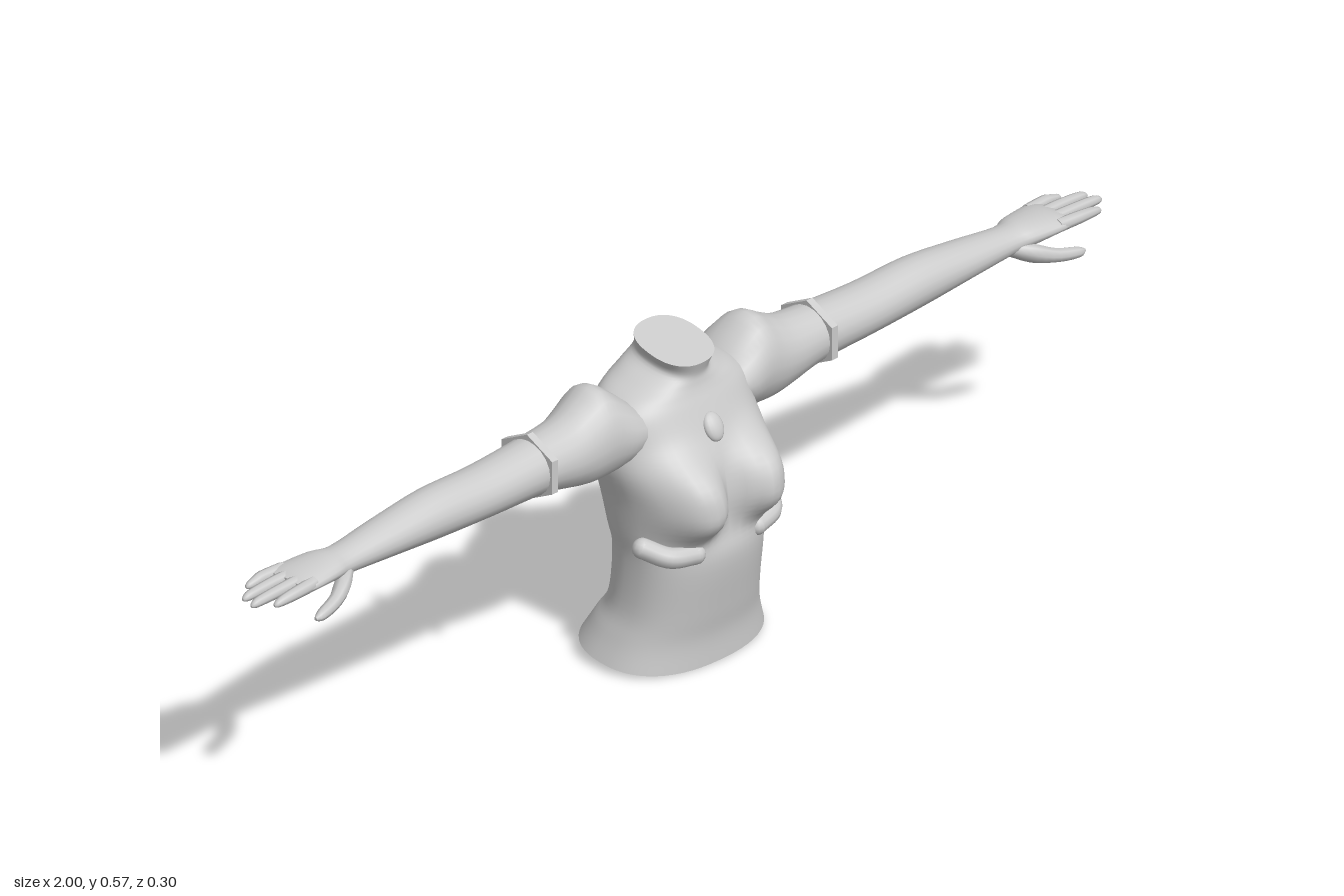
import * as THREE from 'three';
import { mergeGeometries } from 'three/addons/utils/BufferGeometryUtils.js';

const material = new THREE.MeshStandardMaterial({ color: 0xcccccc });

// Smoothly subdivide a list of section keys (component-wise Catmull-Rom)
function refine(keys, steps) {
  const out = [];
  for (let i = 0; i < keys.length - 1; i++) {
    const [a, b, c, d] = [keys[Math.max(i - 1, 0)], keys[i], keys[i + 1], keys[Math.min(i + 2, keys.length - 1)]];
    for (let s = 0; s < steps; s++) {
      const t = s / steps;
      out.push(b.map((v, k) => v + 0.5 * t * (c[k] - a[k] + t * (2 * a[k] - 5 * v + 4 * c[k] - d[k] + t * (3 * (v - c[k]) + d[k] - a[k])))));
    }
  }
  out.push(keys[keys.length - 1]);
  return out;
}

// Loft closed cross-sections and cap both ends with flat faces
function loft(keys, steps, n, point) {
  const rings = refine(keys, steps).map((key) =>
    Array.from({ length: n }, (_, j) => point(key, (j / n) * Math.PI * 2)));
  const pos = [];
  const index = [];
  rings.forEach((ring) => ring.forEach((p) => pos.push(...p)));
  for (let i = 0; i < rings.length - 1; i++) {
    for (let j = 0; j < n; j++) {
      const a = i * n + j, b = i * n + (j + 1) % n;
      index.push(a, a + n, b, b, a + n, b + n);
    }
  }
  [rings[0], rings[rings.length - 1]].forEach((ring, end) => {
    const base = pos.length / 3;
    ring.forEach((p) => pos.push(...p));
    pos.push(...[0, 1, 2].map((k) => ring.reduce((sum, p) => sum + p[k], 0) / n));
    for (let j = 0; j < n; j++) {
      const a = base + j, b = base + (j + 1) % n;
      index.push(base + n, ...(end ? [b, a] : [a, b]));
    }
  });
  const g = new THREE.BufferGeometry();
  g.setAttribute('position', new THREE.Float32BufferAttribute(pos, 3));
  g.setIndex(index);
  g.computeVertexNormals();
  return g;
}

// Mirrored copy across x = 0 with corrected winding
function mirrored(geometry) {
  const g = (geometry.index ? geometry.toNonIndexed() : geometry.clone());
  for (const name of ['position', 'normal']) {
    const attr = g.attributes[name];
    for (let i = 0; i < attr.count; i += 3) {
      const v = [0, 1, 2].map((k) => [-attr.getX(i + k), attr.getY(i + k), attr.getZ(i + k)]);
      attr.setXYZ(i, ...v[0]);
      attr.setXYZ(i + 1, ...v[2]);
      attr.setXYZ(i + 2, ...v[1]);
    }
  }
  return g;
}

const power = (v, e) => Math.sign(v) * Math.abs(v) ** e;

// Torso section: [y, half width, front z, back z, tilt]
function torsoPoint([y, w, zf, zb, tilt], a) {
  const c = power(Math.cos(a), 0.85), s = power(Math.sin(a), 0.85);
  const x = w * c;
  const dz = ((zf - zb) / 2) * s;
  let z = (zf + zb) / 2 + dz;
  if (s > 0) {
    const dx = (Math.abs(x) - 0.078) / 0.058;
    const dy = (y - 0.315) / (y > 0.315 ? 0.075 : 0.058);
    z += 0.063 * Math.exp(-((dx * dx + dy * dy) ** 1.5)) * Math.min(1, s * 2);
  }
  return [x, y - tilt * dz, z];
}

// Limb section: [x, top y, bottom y, front z, back z]
const limbPoint = ([x, top, bottom, zf, zb], a) => [
  x,
  (top + bottom) / 2 + ((top - bottom) / 2) * Math.cos(a),
  (zf + zb) / 2 - ((zf - zb) / 2) * Math.sin(a),
];

// Tapered finger from [x, y, z, radius] knots
const finger = (knots) => loft(
  knots.map(([x, y, z, r]) => [x, y + r, y - r, z + r, z - r]), 3, 8, limbPoint);

function armbandGeometry() {
  const hexagon = (r, Type) => new Type(Array.from({ length: 6 }, (_, i) => {
    const a = (i / 6) * Math.PI * 2;
    return new THREE.Vector2(Math.sin(a) * r * 1.12, Math.cos(a) * r);
  }));
  const shape = hexagon(0.06, THREE.Shape);
  shape.holes.push(hexagon(0.048, THREE.Path));
  return new THREE.ExtrudeGeometry(shape, { depth: 0.014, bevelEnabled: false })
    .rotateY(Math.PI / 2).translate(0.322, 0.44, -0.034);
}

function padGeometry() {
  const points = [[0.072, 0.226, 0.095], [0.12, 0.232, 0.082], [0.146, 0.246, 0.046]]
    .map((p) => new THREE.Vector3(...p));
  const r = 0.018;
  const tube = new THREE.TubeGeometry(new THREE.CatmullRomCurve3(points), 16, r, 12);
  const ends = [points[0], points[2]].map((p) => new THREE.SphereGeometry(r, 12, 8).translate(p.x, p.y, p.z));
  return mergeGeometries([tube, ...ends]);
}

export function createModel() {
  const model = new THREE.Group();
  model.name = 'torso with arms';
  const add = (name, geometry) => {
    const mesh = new THREE.Mesh(geometry, material);
    mesh.name = name;
    model.add(mesh);
  };
  const addPair = (name, geometry) => {
    add('left ' + name, geometry);
    add('right ' + name, mirrored(geometry));
  };

  // Torso from hem to cut neck
  add('torso', loft([
    [0.016, 0.17, 0.087, -0.147, 0.128],
    [0.06, 0.152, 0.088, -0.125, 0.08],
    [0.11, 0.137, 0.098, -0.1, 0.03],
    [0.2, 0.132, 0.113, -0.096, 0],
    [0.25, 0.137, 0.105, -0.105, 0],
    [0.31, 0.145, 0.095, -0.115, 0],
    [0.37, 0.158, 0.088, -0.125, 0],
    [0.42, 0.155, 0.068, -0.13, 0],
    [0.46, 0.15, 0.05, -0.125, 0],
    [0.485, 0.125, 0.04, -0.118, 0.05],
    [0.505, 0.085, 0.035, -0.108, 0.12],
    [0.525, 0.052, 0.034, -0.097, 0.2],
    [0.551, 0.06, 0.042, -0.09, 0.24],
  ], 5, 56, torsoPoint));

  // Sternum ornament
  add('chest clasp', new THREE.SphereGeometry(1, 16, 12).scale(0.02, 0.026, 0.012)
    .rotateX(-0.5).translate(0, 0.425, 0.066));

  // Arm with puffed shoulder, running into the palm
  addPair('arm', loft([
    [0.1, 0.47, 0.4, 0.03, -0.1],
    [0.14, 0.505, 0.375, 0.035, -0.115],
    [0.182, 0.532, 0.365, 0.03, -0.106],
    [0.22, 0.515, 0.366, 0.026, -0.098],
    [0.26, 0.498, 0.376, 0.024, -0.09],
    [0.33, 0.49, 0.39, 0.02, -0.085],
    [0.45, 0.484, 0.395, 0.018, -0.08],
    [0.57, 0.486, 0.4, 0.015, -0.077],
    [0.68, 0.475, 0.408, 0.01, -0.07],
    [0.78, 0.463, 0.415, 0.004, -0.062],
    [0.82, 0.463, 0.42, 0.012, -0.074],
    [0.88, 0.458, 0.425, 0.017, -0.083],
    [0.905, 0.45, 0.432, 0.012, -0.08],
  ], 4, 20, limbPoint));

  // Four fingers and a thumb
  const fingers = [[0.007, 0.972], [-0.019, 1], [-0.045, 0.993], [-0.072, 0.958]].map(([z, tip]) => finger([
    [0.875, 0.443, z * 0.9 - 0.003, 0.012],
    [0.92, 0.443, z, 0.011],
    [tip - 0.02, 0.441, z, 0.009],
    [tip - 0.005, 0.439, z, 0.006],
    [tip, 0.438, z, 0.002],
  ]));
  const thumb = finger([
    [0.775, 0.43, -0.015, 0.012],
    [0.81, 0.418, 0.006, 0.018],
    [0.85, 0.406, 0.025, 0.013],
    [0.89, 0.4, 0.034, 0.01],
    [0.905, 0.399, 0.036, 0.003],
  ]);
  addPair('fingers', mergeGeometries([...fingers, thumb]));

  addPair('armband', armbandGeometry());
  addPair('underbust pad', padGeometry());
  return model;
}
